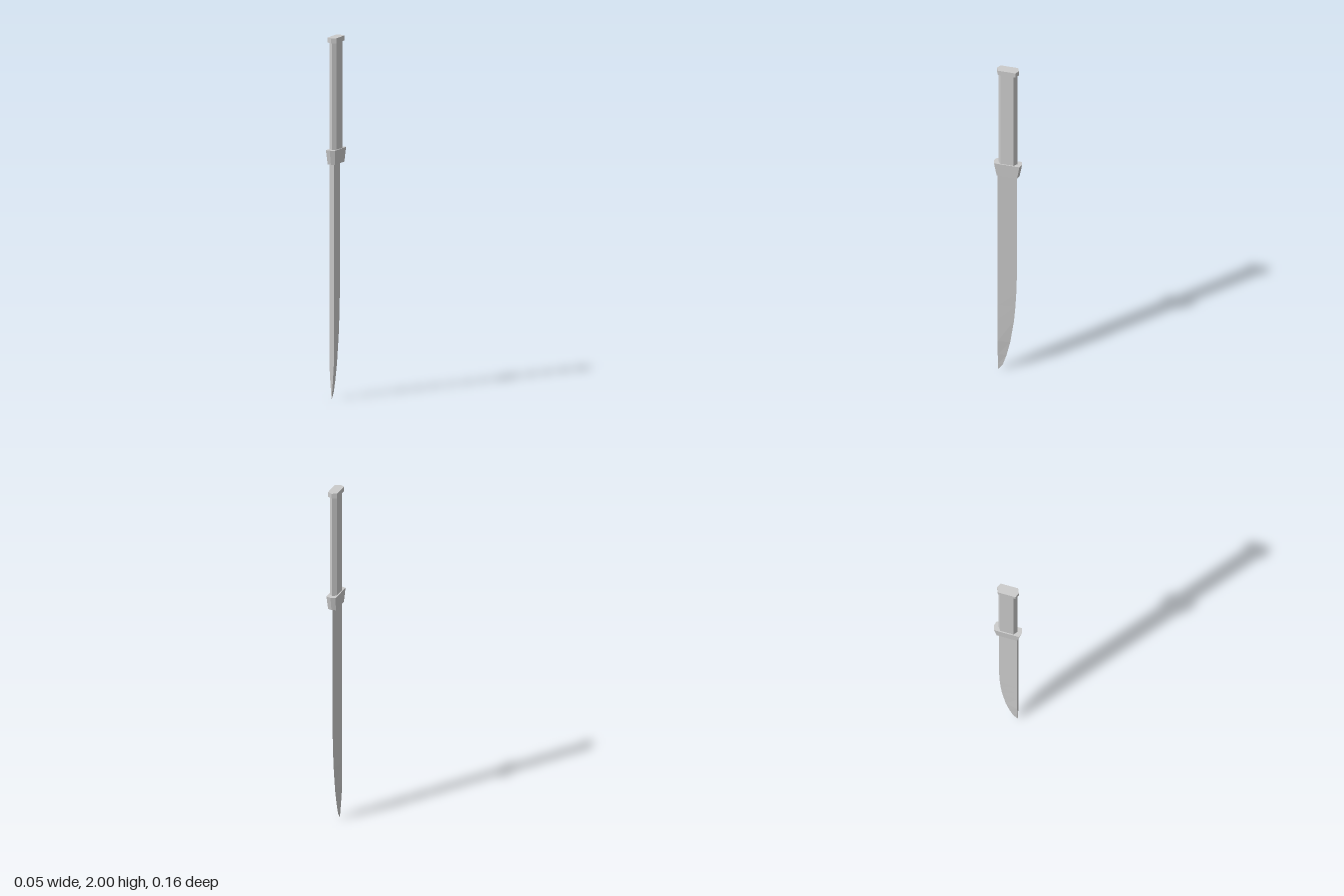
import * as THREE from 'three';

const material = new THREE.MeshStandardMaterial({ color: 0xcccccc, flatShading: true });

// Closed loft through rings of [x, y, z] points, each anticlockwise seen from above, lowest first
function loft(name, rings) {
  const n = rings[0].length, pos = [];
  const tri = (a, b, c) => pos.push(...a, ...b, ...c);
  for (let r = 0; r < rings.length - 1; r++) {
    const lo = rings[r], hi = rings[r + 1];
    for (let i = 0; i < n; i++) {
      const j = (i + 1) % n;
      tri(lo[i], lo[j], hi[j]);
      tri(lo[i], hi[j], hi[i]);
    }
  }
  const bottom = rings[0], top = rings[rings.length - 1];
  for (let i = 1; i < n - 1; i++) {
    tri(bottom[0], bottom[i + 1], bottom[i]);
    tri(top[0], top[i], top[i + 1]);
  }
  const geometry = new THREE.BufferGeometry();
  geometry.setAttribute('position', new THREE.Float32BufferAttribute(pos, 3));
  geometry.computeVertexNormals();
  const mesh = new THREE.Mesh(geometry, material);
  mesh.name = name;
  return mesh;
}

// Six-sided ring: flat sides at +-x, shallow points at +-z
const hexRing = (y, x, side, tip) => [
  [x, y, side], [x, y, -side], [0, y, -tip],
  [-x, y, -side], [-x, y, side], [0, y, tip],
];

// Wedge ring: flat spine at the front, sharp edge at the back
const SPINE = 0.056;
const wedgeRing = ([y, edge, half]) => [[half, y, SPINE], [0, y, edge], [-half, y, SPINE]];

export function createModel() {
  const group = new THREE.Group();
  group.name = 'knife';

  // Blade: height, z of the cutting edge, half thickness of the spine
  const sections = [
    [0, 0.054, 0.0005], [0.034, 0.029, 0.003], [0.1, 0.008, 0.008], [0.19, -0.013, 0.0135],
    [0.335, -0.034, 0.0135], [0.43, -0.042, 0.0135], [0.52, -0.047, 0.0135],
    [0.62, -0.05, 0.0135], [1.32, -0.051, 0.0135],
  ];
  group.add(loft('blade', sections.map(wedgeRing)));

  // Guard flares upwards
  group.add(loft('guard', [hexRing(1.3, 0.023, 0.058, 0.065), hexRing(1.38, 0.027, 0.072, 0.08)]));

  // Grip and its end cap
  group.add(loft('grip', [hexRing(1.37, 0.021, 0.038, 0.054), hexRing(1.98, 0.021, 0.038, 0.054)]));
  group.add(loft('pommel', [hexRing(1.972, 0.027, 0.05, 0.062), hexRing(2, 0.027, 0.05, 0.062)]));

  return group;
}
